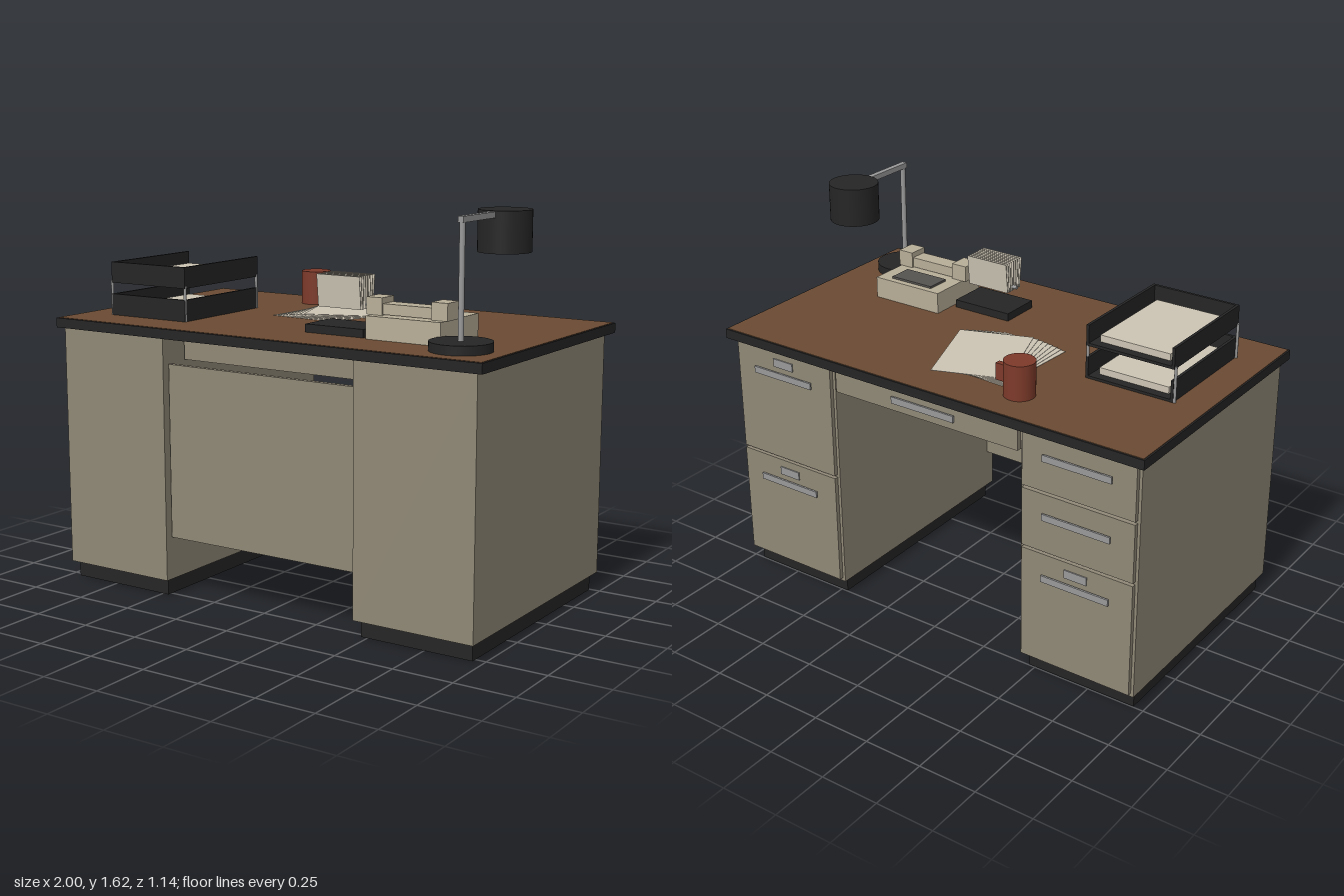
import * as THREE from 'three';

const paint = (color) => new THREE.MeshStandardMaterial({ color });

export function createModel() {
  const model = new THREE.Group();
  const steel = paint(0x908877), black = paint(0x262525), wood = paint(0x6a4a33);
  const paper = paint(0xcdc5b5), beige = paint(0xb8ae98), chrome = paint(0x999999);
  const red = paint(0x7d3a2a), dark = paint(0x555350);

  // Box given by its limits on each axis
  function box(name, mat, [x0, x1], [y0, y1], [z0, z1], parent = model) {
    const mesh = new THREE.Mesh(new THREE.BoxGeometry(x1 - x0, y1 - y0, z1 - z0), mat);
    mesh.position.set((x0 + x1) / 2, (y0 + y1) / 2, (z0 + z1) / 2);
    mesh.name = name;
    parent.add(mesh);
    return mesh;
  }
  // Upright cylinder
  function post(name, mat, r, x, z, y0, y1, parent = model, sides = 40) {
    const mesh = new THREE.Mesh(new THREE.CylinderGeometry(r, r, y1 - y0, sides), mat);
    mesh.position.set(x, (y0 + y1) / 2, z);
    mesh.name = name;
    parent.add(mesh);
    return mesh;
  }
  function group(name) {
    const g = new THREE.Group();
    g.name = name;
    model.add(g);
    return g;
  }

  // Desktop: black edge with a wooden surface
  box('desktopEdge', black, [-1, 1], [1.08, 1.12], [-0.572, 0.572]);
  box('desktopSurface', wood, [-0.993, 0.993], [1.11, 1.122], [-0.565, 0.565]);

  // Bar pull on two feet, with an optional label holder above
  function pull(parent, x, y, z, label) {
    box('pull', chrome, [x - 0.15, x + 0.15], [y - 0.014, y + 0.014], [z - 0.013, z - 0.005], parent);
    for (const s of [-1, 1])
      box('pullFoot', chrome, [x + s * 0.12 - 0.01, x + s * 0.12 + 0.01], [y - 0.008, y + 0.008], [z - 0.006, z], parent);
    if (label) box('labelHolder', chrome, [x - 0.05, x + 0.05], [y + 0.035, y + 0.07], [z - 0.005, z], parent);
  }

  // Pedestals: two file drawers on the left, two small and one file on the right
  const drawers = {
    '1': [[0.585, 1.07, 0.97, true], [0.085, 0.573, 0.47, true]],
    '-1': [[0.845, 1.07, 0.99, false], [0.585, 0.833, 0.74, false], [0.085, 0.573, 0.47, true]],
  };
  for (const s of [1, -1]) {
    const g = group(s > 0 ? 'leftPedestal' : 'rightPedestal');
    const span = (a, b) => (s > 0 ? [a, b] : [-b, -a]);
    box('cabinet', steel, span(0.452, 0.972), [0.07, 1.08], [-0.53, 0.552], g);
    box('plinth', black, span(0.472, 0.955), [0, 0.07], [-0.495, 0.522], g);
    for (const [y0, y1, py, label] of drawers[s]) {
      box('drawerFront', steel, span(0.465, 0.96), [y0, y1], [-0.548, -0.53], g);
      pull(g, s * 0.712, py, -0.548, label);
    }
  }

  // Modesty panel and centre drawer
  box('modestyPanel', steel, [-0.447, 0.447], [0.25, 0.97], [0.5, 0.522]);
  const centre = group('centreDrawer');
  box('drawerBody', steel, [-0.447, 0.447], [0.975, 1.08], [-0.52, 0.42], centre);
  box('drawerFront', steel, [-0.44, 0.44], [0.975, 1.07], [-0.54, -0.52], centre);
  pull(centre, 0, 1.025, -0.54, false);

  // Two stacked letter trays, low at the far end, held by corner posts
  const trays = group('letterTrays');
  for (const [y, h] of [[1.121, 0.09], [1.258, 0.087]]) {
    box('trayFloor', black, [-0.855, -0.468], [y, y + 0.012], [-0.12, 0.385], trays);
    for (const x of [-0.855, -0.48])
      box('traySide', black, [x, x + 0.012], [y, y + h], [-0.12, 0.385], trays);
    box('trayEnd', black, [-0.855, -0.468], [y, y + h], [0.373, 0.385], trays);
    box('trayPapers', paper, [-0.815, -0.508], [y + 0.012, y + 0.04], [-0.082, 0.345], trays);
  }
  for (const x of [-0.858, -0.472])
    for (const z of [-0.113, 0.378]) post('trayPost', chrome, 0.006, x, z, 1.12, 1.268, trays, 10);

  // Mug with a block handle
  const mug = group('mug');
  post('mugBody', red, 0.063, -0.345, -0.39, 1.12, 1.266, mug);
  box('mugHandle', red, [-0.295, -0.243], [1.162, 1.232], [-0.402, -0.378], mug);

  // Fan of loose sheets, turning as the pile rises
  const sheets = group('looseSheets');
  const count = 8;
  for (let i = 0; i < count; i++) {
    const t = i / (count - 1), y = 1.123 + t * 0.018;
    const sheet = box('sheet', paper, [-0.155, 0.155], [y, y + 0.0015], [-0.203, 0.203], sheets);
    sheet.position.x = THREE.MathUtils.lerp(-0.108, -0.04, t);
    sheet.position.z = THREE.MathUtils.lerp(-0.158, -0.2, t);
    sheet.rotation.y = THREE.MathUtils.degToRad(-3.5 + 23.5 * t);
  }

  // Card file: base, rod and spread cards
  const cards = group('cardFile');
  box('cardBase', black, [0.09, 0.358], [1.12, 1.155], [0.157, 0.335], cards);
  const rod = post('cardRod', chrome, 0.008, 0.225, 0.245, 1.12, 1.36, cards, 12);
  rod.position.y = 1.24;
  rod.rotation.z = Math.PI / 2;
  for (let i = 0; i < 9; i++) {
    const z = 0.2 + i * 0.0125;
    const card = box('card', paper, [0.125, 0.322], [1.222, 1.352], [z - 0.001, z + 0.001], cards);
    card.rotation.x = (i - 4) * 0.025;
  }

  // Telephone: body, key panel, handset with raised ends
  const phone = group('telephone');
  box('phoneBody', beige, [0.378, 0.705], [1.12, 1.212], [0.055, 0.35], phone);
  box('keyPanel', dark, [0.435, 0.64], [1.212, 1.221], [0.083, 0.187], phone);
  box('handsetBar', beige, [0.42, 0.655], [1.215, 1.257], [0.235, 0.308], phone);
  for (const x of [0.36, 0.645])
    box('handsetEnd', beige, [x, x + 0.07], [1.212, 1.28], [0.228, 0.315], phone);

  // Desk lamp
  const lamp = group('lamp');
  post('lampBase', black, 0.12, 0.812, 0.385, 1.12, 1.158, lamp);
  post('lampPole', chrome, 0.011, 0.812, 0.388, 1.155, 1.6, lamp, 16);
  box('lampArm', chrome, [0.8, 0.824], [1.59, 1.613], [0.1, 0.402], lamp);
  post('lampShade', black, 0.104, 0.812, 0.055, 1.455, 1.616, lamp);

  return model;
}
